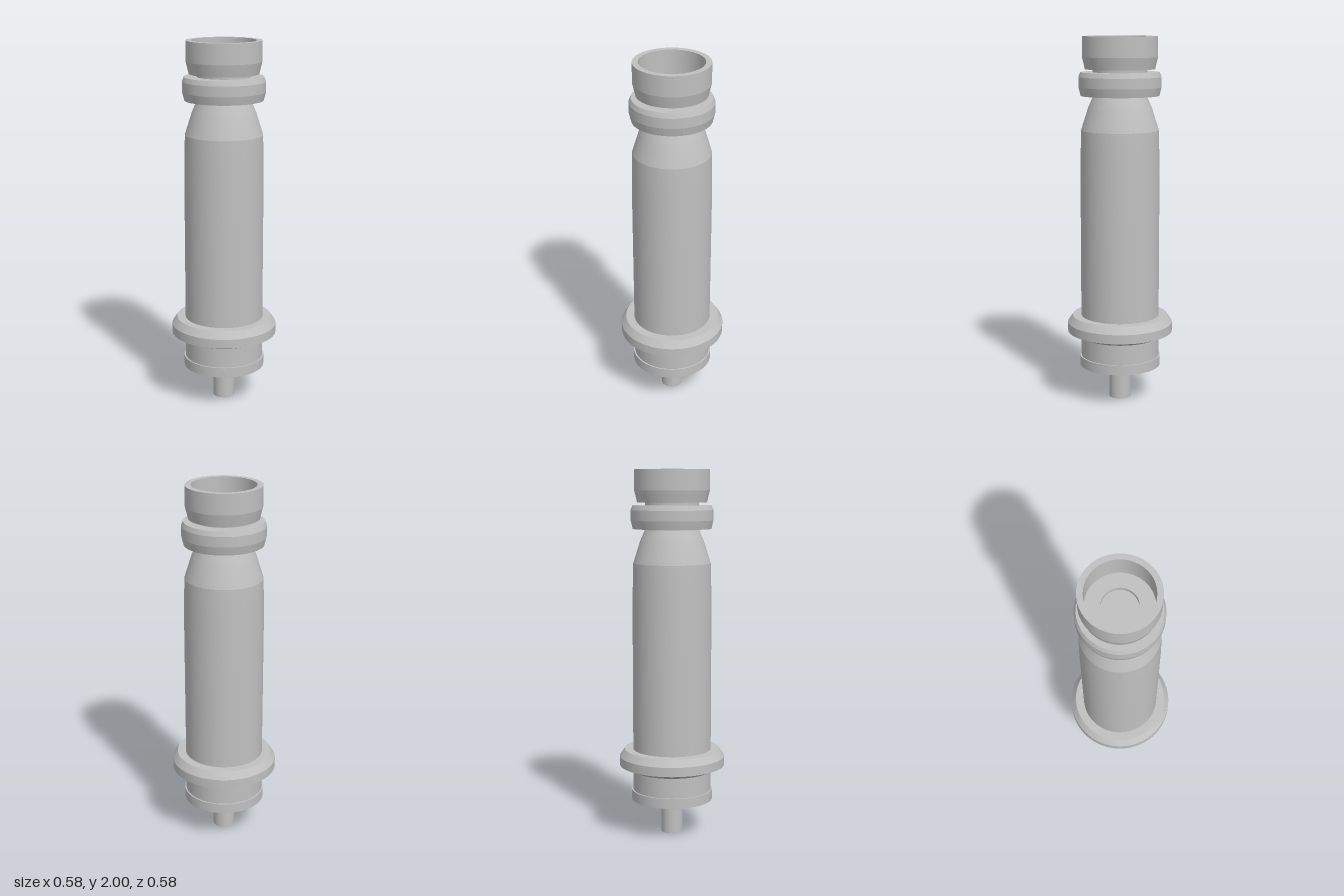
import * as THREE from 'three';
import { toCreasedNormals } from 'three/addons/utils/BufferGeometryUtils.js';

const metal = new THREE.MeshStandardMaterial({ color: 0xc0c0c0 });
metal.name = 'light grey';

// Turns a [radius, height] profile, listed upward along its outside, into a named part.
function turned(name, profile) {
  const points = profile.map(([r, y]) => new THREE.Vector2(r, y));
  const geometry = toCreasedNormals(new THREE.LatheGeometry(points, 72), 0.12);
  const mesh = new THREE.Mesh(geometry, metal);
  mesh.name = name;
  return mesh;
}

export function createModel() {
  const group = new THREE.Group();
  group.name = 'turnedFitting';

  group.add(
    // Thin pin the fitting stands on
    turned('stem', [[0, 0], [0.06, 0], [0.06, 0.2]]),

    // Slightly wider disc closing the lower end
    turned('baseDisc', [[0, 0.19], [0.223, 0.19], [0.223, 0.245], [0.2, 0.245]]),

    // Long barrel with a tapered shoulder and narrow neck
    turned('barrel', [
      [0.215, 0.24], [0.215, 1.3], [0.21, 1.5], [0.172, 1.62],
      [0.146, 1.68], [0.146, 1.84],
    ]),

    // Wide bevelled collar near the bottom
    turned('flange', [
      [0.21, 0.358], [0.225, 0.358], [0.289, 0.385], [0.289, 0.435],
      [0.262, 0.475], [0.21, 0.475],
    ]),

    // Bevelled ring round the neck, hollow underneath
    turned('neckRing', [
      [0.14, 1.78], [0.185, 1.78], [0.185, 1.685], [0.212, 1.685],
      [0.223, 1.73], [0.223, 1.785], [0.213, 1.81], [0.14, 1.81],
    ]),

    // Open cup with a flat floor and a shallow central recess
    turned('topCup', [
      [0.14, 1.826], [0.188, 1.826], [0.203, 1.89], [0.203, 2], [0.172, 2],
      [0.172, 1.855], [0.093, 1.855], [0.093, 1.83], [0, 1.83],
    ]),
  );
  return group;
}
